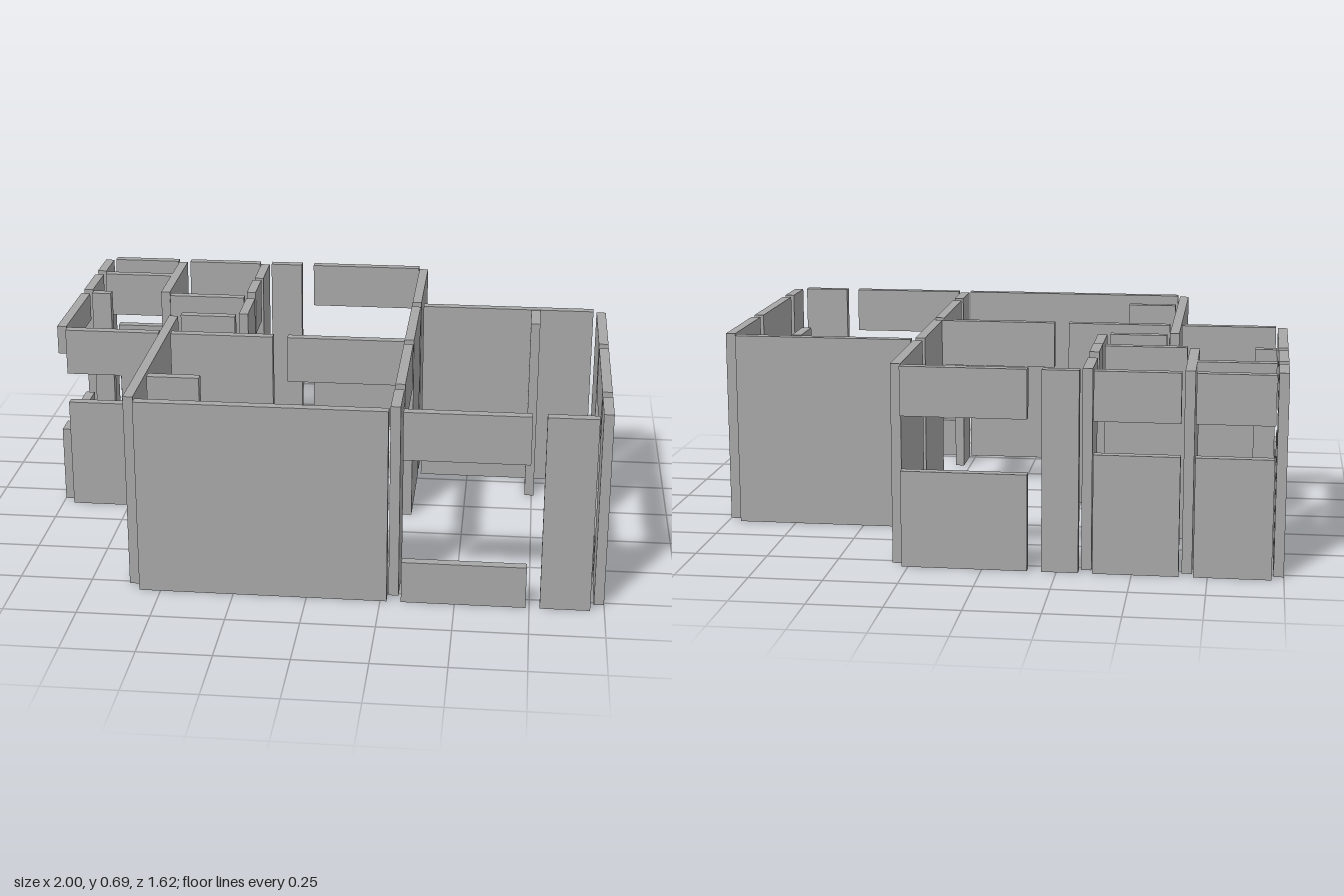
import * as THREE from 'three';

const H = 0.685;      // wall height
const T = 0.034;      // wall thickness
const HEAD = 0.517;   // underside of door and window heads

export function createModel() {
  const model = new THREE.Group();
  const plaster = new THREE.MeshStandardMaterial({ color: 0xa8a8a8 });
  plaster.name = 'grey plaster';

  function box(name, x0, x1, y0, y1, z0, z1) {
    const mesh = new THREE.Mesh(new THREE.BoxGeometry(x1 - x0, y1 - y0, z1 - z0), plaster);
    mesh.position.set((x0 + x1) / 2, (y0 + y1) / 2, (z0 + z1) / 2);
    mesh.name = name;
    model.add(mesh);
  }
  // Walls running along x (centre line z) or along z (centre line x)
  const alongX = (name, z, a, b, y0 = 0, y1 = H) => box(name, a, b, y0, y1, z - T / 2, z + T / 2);
  const alongZ = (name, x, a, b, y0 = 0, y1 = H) => box(name, x - T / 2, x + T / 2, y0, y1, a, b);
  // A window bay is a sill wall and a head; a doorway is a head only
  function bay(run, name, at, a, b, sill, head = HEAD) {
    if (sill > 0) run(name + 'Sill', at, a, b, 0, sill);
    run(name + 'Head', at, a, b, head, H);
  }

  // Back wall
  bay(alongX, 'bathWindow', -0.796, -0.96, -0.703, 0.405);
  bay(alongX, 'smallRoomWindow', -0.796, -0.655, -0.37, 0.405);
  alongX('backPier', -0.796, -0.323, -0.2);
  bay(alongX, 'kitchenWindow', -0.796, -0.152, 0.272, 0.33);

  // Outer wall on the right side
  alongZ('rightBackWall', -0.983, -0.773, -0.62);
  bay(alongZ, 'rightWindow', -0.983, -0.57, -0.372, 0.405);
  alongZ('rightDoorHead', -0.983, -0.323, 0.075, 0.58, H);
  alongZ('rightDoorStub', -0.983, -0.323, -0.235, 0, 0.28);
  alongZ('rightDoorStub', -0.983, -0.01, 0.075, 0, 0.28);

  // Small rooms at the back right
  bay(alongX, 'bathDoor', -0.596, -0.96, -0.698, 0);
  alongX('shortStub', -0.345, -0.96, -0.887);
  alongX('smallRoomWall', -0.345, -0.655, -0.37);
  alongZ('bathWall', -0.681, -0.773, -0.372);
  alongX('hallWall', -0.115, -0.573, -0.37);
  alongZ('smallRoomPier', -0.347, -0.775, -0.585);
  alongZ('smallRoomDoorHead', -0.347, -0.53, -0.37, 0.527, 0.695);
  bay(alongZ, 'hallDoor', -0.343, -0.323, -0.137, 0);

  // Cross wall through the middle
  bay(alongX, 'crossWindow', 0.099, -0.96, -0.76, 0.405);
  alongX('crossPier', 0.099, -0.76, -0.618);
  alongX('crossWall', 0.099, -0.573, -0.2);
  bay(alongX, 'kitchenDoor', 0.099, -0.147, 0.275, 0);

  // Front room
  alongZ('frontRoomSideWall', -0.598, -0.088, 0.765);
  alongX('frontRoomStub', 0.55, -0.573, -0.393);
  alongX('frontWall', 0.795, -0.573, 0.272);

  // Spine wall between the two halves
  alongZ('spineBackWall', 0.292, -0.773, -0.34);
  alongZ('spineMiddleWall', 0.292, -0.29, 0.095);
  bay(alongZ, 'spineDoor', 0.292, 0.142, 0.552, 0);
  alongZ('spineFrontPier', 0.292, 0.602, 0.765);

  // Left room
  bay(alongX, 'frontWindow', 0.795, 0.32, 0.738, 0.147);
  alongX('frontCornerPier', 0.795, 0.785, 0.953);
  alongX('leftRoomBackWall', -0.313, 0.32, 0.955);
  alongZ('leftRoomStub', 0.741, -0.29, -0.13);
  alongZ('leftWall', 0.983, -0.29, 0.07);
  bay(alongZ, 'leftWindow', 0.983, 0.115, 0.557, 0.147);
  alongZ('leftCornerPier', 0.983, 0.602, 0.765);

  return model;
}
